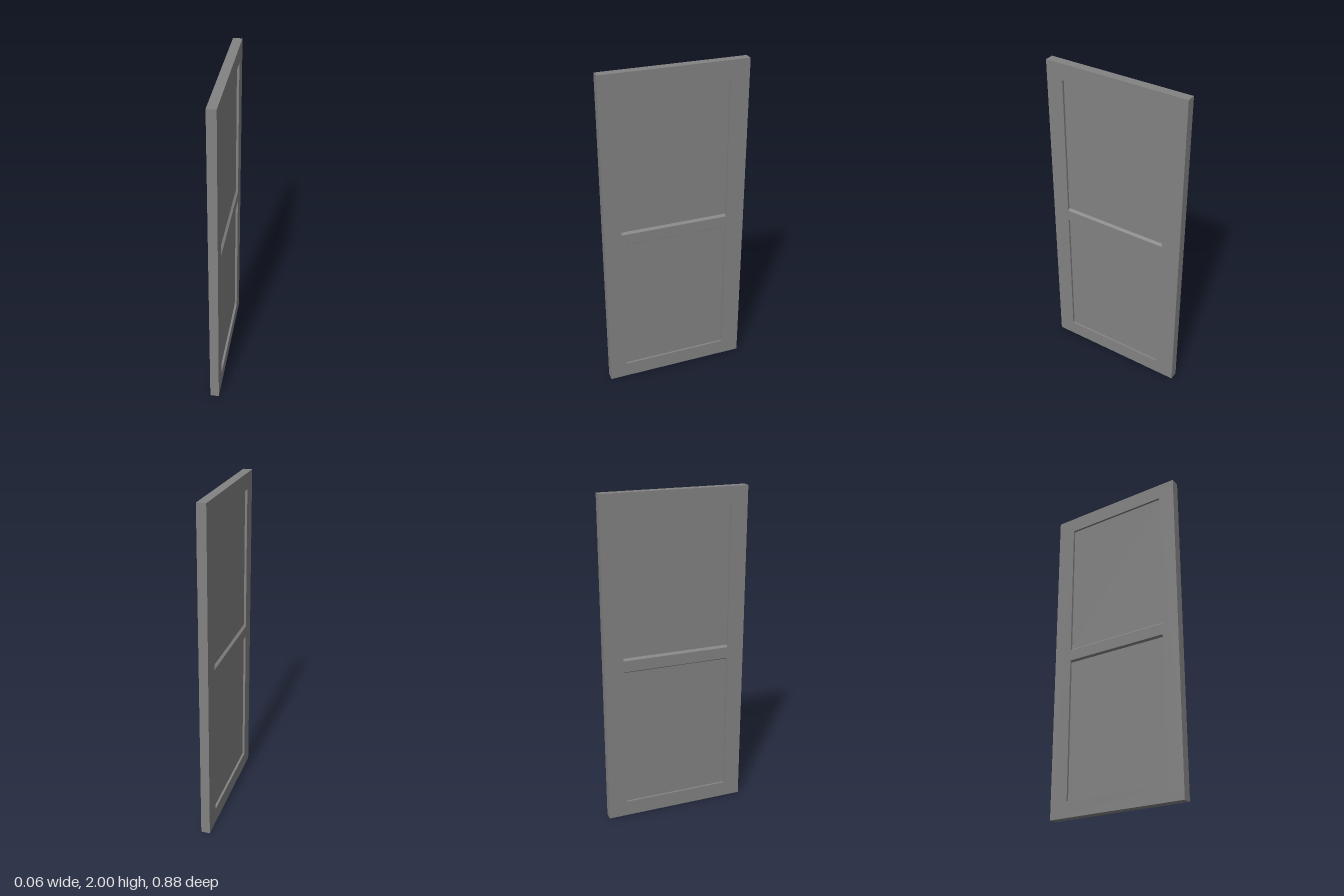
import * as THREE from 'three';

const HALF = 0.027;              // half thickness of the frame
const CORE = 0.013;              // half thickness of the recessed panels
const Z0 = -0.324, Z1 = 0.336;   // opening, slightly off centre
const Y0 = 0.095, Y1 = 1.903;
const RAIL_LOW = 0.956, RAIL_HIGH = 1.046; // where the rail meets the panels

export function createModel() {
  const door = new THREE.Group();
  door.name = 'panelDoor';
  const material = new THREE.MeshStandardMaterial({ color: 0x828282, flatShading: true });
  const add = (name, geometry) => {
    const mesh = new THREE.Mesh(geometry, material);
    mesh.name = name;
    door.add(mesh);
  };
  const polygon = (points, Type = THREE.Shape) =>
    new Type(points.map(([x, y]) => new THREE.Vector2(x, y)));
  const rectangle = (a, b, c, d, Type) => polygon([[a, b], [c, b], [c, d], [a, d]], Type);

  // Outer frame: stiles with top and bottom rails
  const outline = rectangle(-0.439, 0, 0.439, 2);
  outline.holes.push(rectangle(Z0, Y0, Z1, Y1, THREE.Path));
  const frame = new THREE.ExtrudeGeometry(outline, { depth: 2 * HALF, bevelEnabled: false });
  frame.translate(0, 0, -HALF).rotateY(-Math.PI / 2);
  add('frame', frame);

  // Middle rail with chamfered upper and lower edges on both faces
  const section = polygon([
    [-CORE, RAIL_LOW], [CORE, RAIL_LOW], [HALF, 0.965], [HALF, 1.034],
    [CORE, RAIL_HIGH], [-CORE, RAIL_HIGH], [-HALF, 1.034], [-HALF, 0.965],
  ]);
  const rail = new THREE.ExtrudeGeometry(section, { depth: Z1 - Z0, bevelEnabled: false });
  rail.translate(0, 0, Z0);
  add('middleRail', rail);

  // Recessed panels
  for (const [name, low, high] of [['lowerPanel', Y0, RAIL_LOW], ['upperPanel', RAIL_HIGH, Y1]]) {
    const panel = new THREE.BoxGeometry(2 * CORE, high - low, Z1 - Z0);
    panel.translate(0, (low + high) / 2, (Z0 + Z1) / 2);
    add(name, panel);
  }

  // The door hangs a touch out of line
  door.rotation.y = -0.0057;
  const model = new THREE.Group();
  model.name = 'door';
  model.add(door);
  return model;
}
